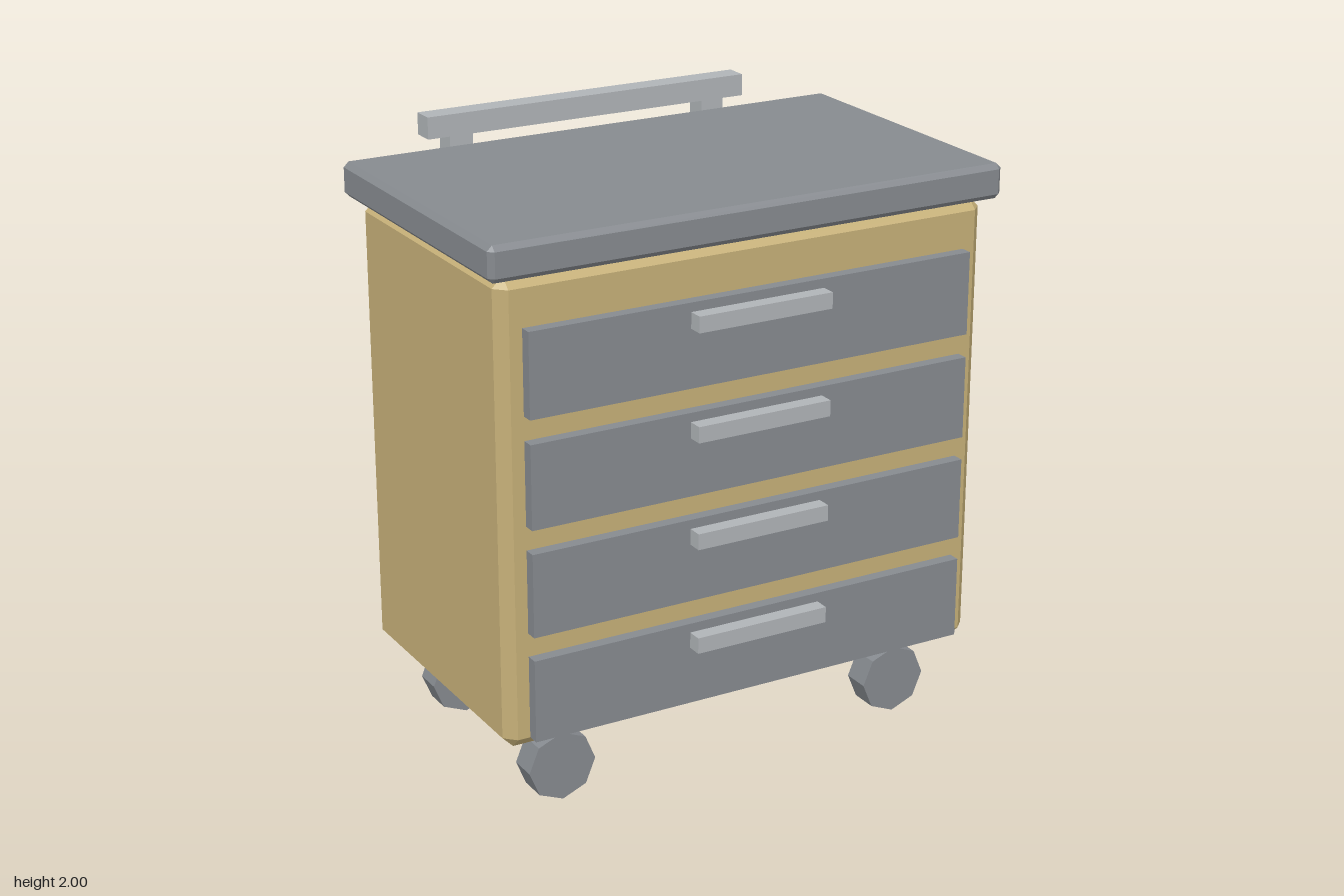
import * as THREE from 'three';
import { ConvexGeometry } from 'three/addons/geometries/ConvexGeometry.js';

// Box between two corners with every edge bevelled by c
function bevelledBox(min, max, c) {
  const points = [];
  for (const x of [0, 1]) for (const y of [0, 1]) for (const z of [0, 1]) {
    const side = [x, y, z];
    for (let outer = 0; outer < 3; outer++) {
      const p = side.map((s, i) => {
        const inset = i === outer ? 0 : c;
        return s ? max[i] - inset : min[i] + inset;
      });
      points.push(new THREE.Vector3(...p));
    }
  }
  return new ConvexGeometry(points);
}

function plainBox(min, max) {
  const size = max.map((v, i) => v - min[i]);
  const mid = max.map((v, i) => (v + min[i]) / 2);
  return new THREE.BoxGeometry(...size).translate(...mid);
}

export function createModel() {
  const group = new THREE.Group();
  const material = (name, color) => {
    const m = new THREE.MeshStandardMaterial({ color, flatShading: true });
    m.name = name;
    return m;
  };
  const tan = material('tan', 0xc6b078);
  const grey = material('grey', 0x868a8f);
  const steel = material('light steel', 0xb0b4b7);

  const add = (name, geometry, mat, parent = group) => {
    const mesh = new THREE.Mesh(geometry, mat);
    mesh.name = name;
    parent.add(mesh);
    return mesh;
  };

  // Cabinet and worktop
  add('cabinetBody', bevelledBox([-0.86, 0.262, -0.46], [0.86, 1.79, 0.515], 0.036), tan);
  add('worktop', bevelledBox([-0.9, 1.79, -0.505], [0.9, 1.905, 0.553], 0.017), grey);

  // Four drawers, each with a bar pull
  for (let i = 0; i < 4; i++) {
    const drawer = new THREE.Group();
    drawer.name = 'drawer' + (i + 1);
    drawer.position.y = 0.298 + i * 0.353;
    add('drawerFront', plainBox([-0.782, 0, 0.515], [0.782, 0.275, 0.555]), grey, drawer);
    add('drawerPull', plainBox([-0.236, 0.192, 0.555], [0.236, 0.245, 0.605]), steel, drawer);
    group.add(drawer);
  }

  // Eight-sided castor wheels
  const wheel = new THREE.CylinderGeometry(0.117, 0.117, 0.095, 8).rotateX(Math.PI / 2);
  for (const x of [-0.627, 0.627]) for (const z of [-0.327, 0.38]) {
    add('wheel', wheel, grey).position.set(x, 0.117, z);
  }

  // Push handle behind the cabinet
  const handle = new THREE.Group();
  handle.name = 'pushHandle';
  group.add(handle);
  add('handleRail', plainBox([-0.588, 1.927, -0.603], [0.588, 2, -0.526]), steel, handle);
  for (const x of [-0.47, 0.47]) {
    add('handlePost', plainBox([x - 0.041, 1.593, -0.603], [x + 0.041, 1.927, -0.526]), steel, handle);
  }

  return group;
}
